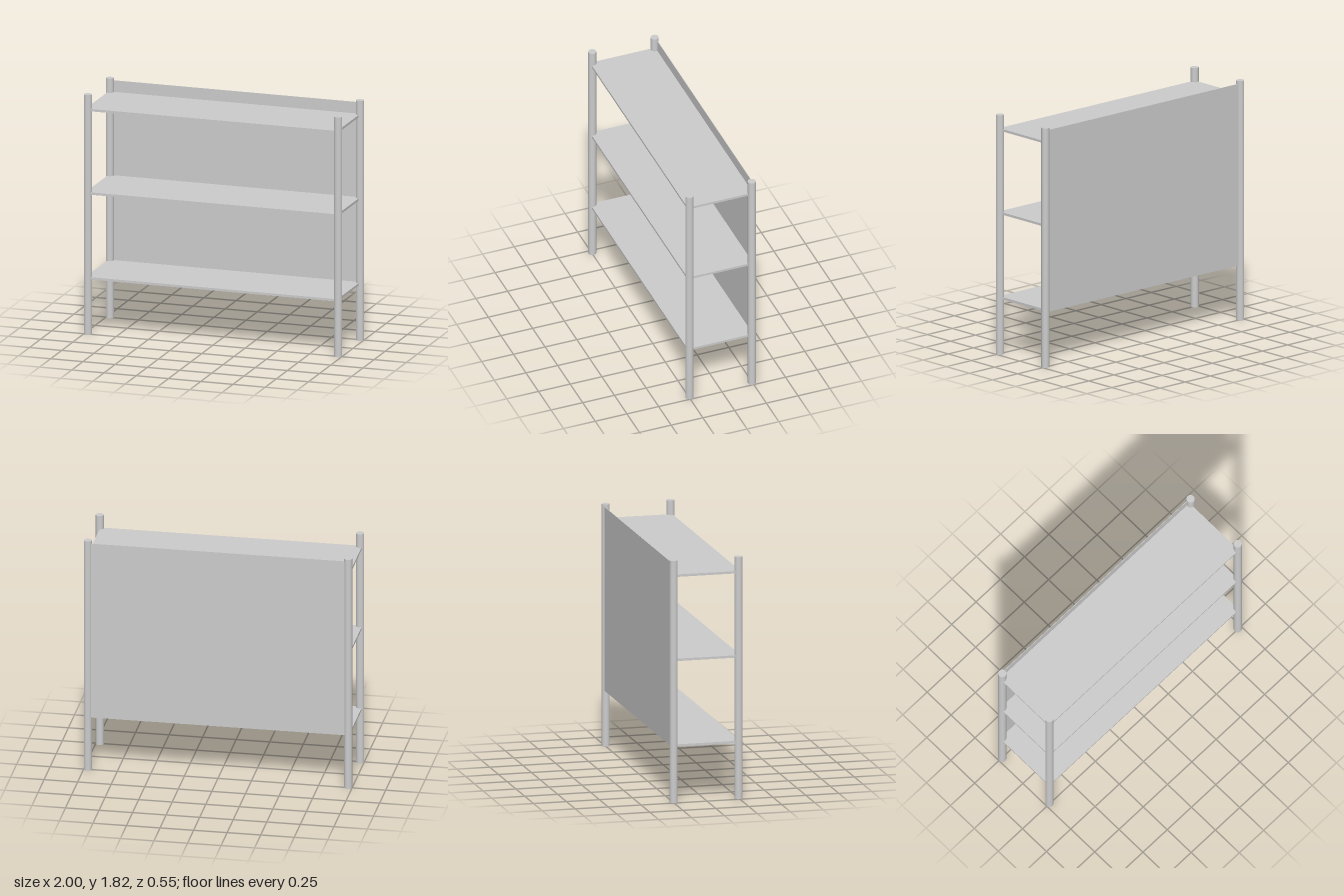
import * as THREE from 'three';

export function createModel() {
  const group = new THREE.Group();
  const material = new THREE.MeshStandardMaterial({ color: 0xcccccc });

  const add = (name, geometry, x, y, z) => {
    const mesh = new THREE.Mesh(geometry, material);
    mesh.name = name;
    mesh.position.set(x, y, z);
    group.add(mesh);
  };

  // Four round corner posts
  const height = 1.82;
  const postGeometry = new THREE.CylinderGeometry(0.03, 0.03, height, 48);
  for (const [side, x] of [['Left', 0.97], ['Right', -0.97]]) {
    for (const [end, z] of [['front', 0.246], ['back', -0.246]]) {
      add(`${end}${side}Post`, postGeometry, x, height / 2, z);
    }
  }

  // Three thin shelves, ending inside the posts
  const left = 0.968, right = -0.984;
  const width = left - right, centreX = (left + right) / 2;
  const shelfGeometry = new THREE.BoxGeometry(width, 0.018, 0.516);
  [['bottomShelf', 0.427], ['middleShelf', 1.071], ['topShelf', 1.704]].forEach(
    ([name, y]) => add(name, shelfGeometry, centreX, y, 0.001)
  );

  // Thin back panel, from the underside of the bottom shelf to just below the post tops
  const bottom = 0.418, top = 1.8;
  add('backPanel', new THREE.BoxGeometry(width, top - bottom, 0.004), centreX, (top + bottom) / 2, -0.258);

  return group;
}
